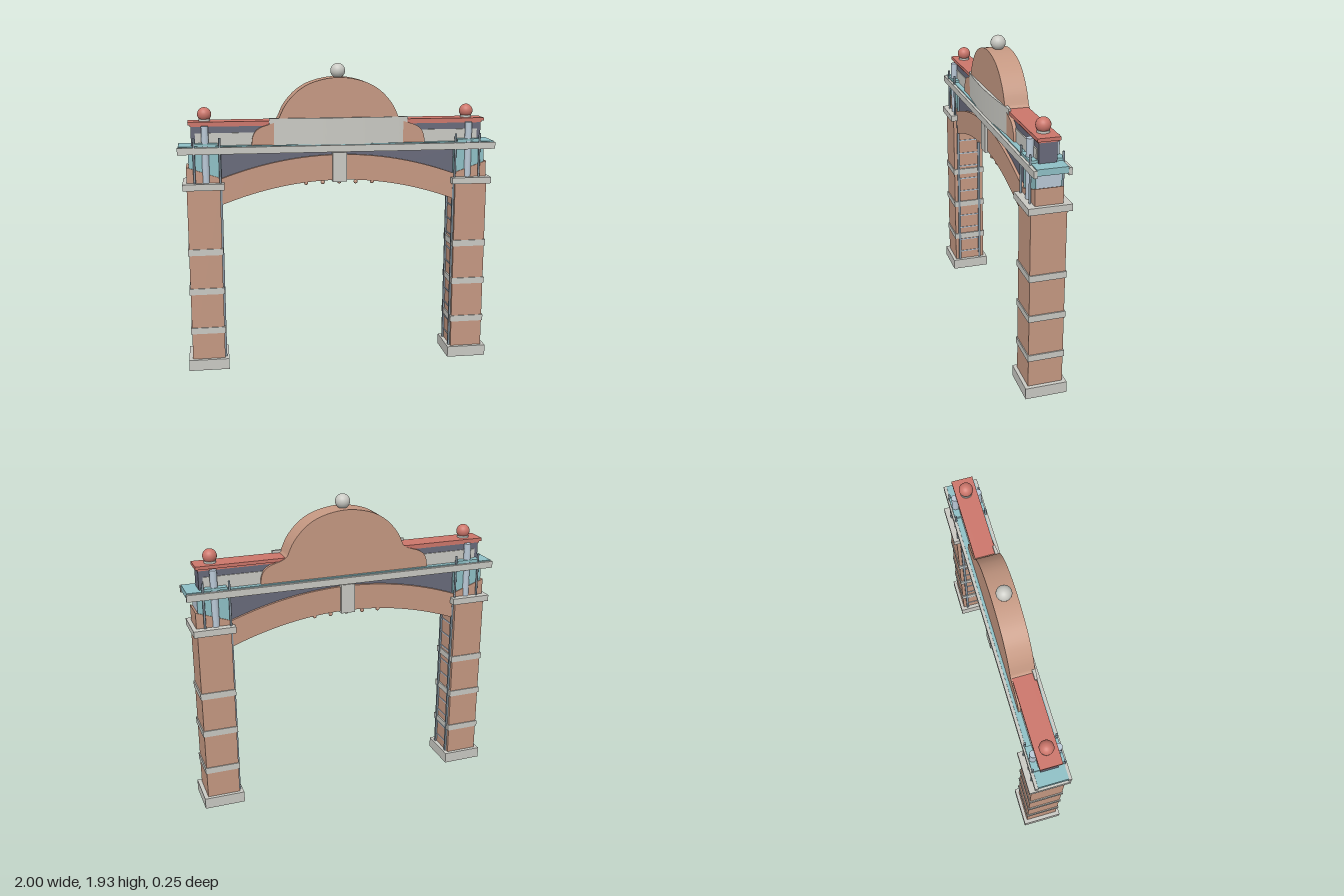
import * as THREE from 'three';
import { toCreasedNormals } from 'three/addons/utils/BufferGeometryUtils.js';

const mat = (name, color) => {
  const m = new THREE.MeshStandardMaterial({ color });
  m.name = name;
  return m;
};

export function createModel() {
  const brick = mat('brick', 0xc59882);
  const stone = mat('stone', 0xc9c9c3);
  const teal = mat('teal', 0x8fc0c6);
  const slate = mat('slate', 0x686a7a);
  const red = mat('red', 0xcc766b);
  const pale = mat('paleBlue', 0xb9c8d6);
  const steel = mat('steel', 0x8695a0);

  const model = new THREE.Group();
  model.name = 'archGate';

  const add = (parent, name, geometry, material, x = 0, y = 0, z = 0) => {
    const mesh = new THREE.Mesh(geometry, material);
    mesh.name = name;
    mesh.position.set(x, y, z);
    parent.add(mesh);
    return mesh;
  };
  // Box given by its limits on x and y and its limits on z
  const box = (parent, name, material, x0, x1, y0, y1, z0, z1) =>
    add(parent, name, new THREE.BoxGeometry(x1 - x0, y1 - y0, z1 - z0), material,
      (x0 + x1) / 2, (y0 + y1) / 2, (z0 + z1) / 2);
  const rod = (parent, name, material, r, x, y0, y1, z, sides = 12) =>
    add(parent, name, new THREE.CylinderGeometry(r, r, y1 - y0, sides), material, x, (y0 + y1) / 2, z);
  const ball = (parent, name, material, r, x, y, z = 0) =>
    add(parent, name, new THREE.SphereGeometry(r, 24, 16), material, x, y, z);
  // Upright plate centred on z = 0
  const plate = (name, shape, halfDepth, material) => {
    const g = new THREE.ExtrudeGeometry(shape, { depth: halfDepth * 2, bevelEnabled: false, curveSegments: 32 });
    g.translate(0, 0, -halfDepth);
    return add(model, name, toCreasedNormals(g, 0.5), material);
  };

  // Pillars with everything standing on them
  for (const s of [1, -1]) {
    const p = new THREE.Group();
    p.name = s > 0 ? 'leftPillar' : 'rightPillar';
    model.add(p);
    const sBox = (name, m, x0, x1, y0, y1, z0, z1) =>
      box(p, name, m, Math.min(s * x0, s * x1), Math.max(s * x0, s * x1), y0, y1, z0, z1);

    sBox('base', stone, 0.72, 0.975, 0, 0.07, -0.127, 0.127);
    sBox('shaft', brick, 0.745, 0.95, 0.07, 1.17, -0.105, 0.105);
    sBox('capital', stone, 0.72, 0.975, 1.17, 1.21, -0.127, 0.127);
    for (const y of [0.26, 0.52, 0.775]) sBox('band', stone, 0.737, 0.957, y - 0.02, y + 0.02, -0.111, 0.111);

    // Inner ladder: two rails and thin rungs
    for (const z of [-0.075, 0.075]) sBox('innerRail', steel, 0.733, 0.746, 0.07, 1.17, z - 0.008, z + 0.008);
    for (let i = 0; i < 11; i++) {
      const y = 0.13 + i * 0.098;
      sBox('rung', pale, 0.741, 0.746, y - 0.004, y + 0.004, -0.067, 0.067);
    }

    // Upper block with coloured faces
    sBox('upperBlock', pale, 0.735, 0.935, 1.21, 1.395, -0.07, 0.07);
    for (const z of [-1, 1]) {
      const a = z * 0.07, b = z * 0.076;
      sBox('upperPanel', teal, 0.735, 0.935, 1.21, 1.395, Math.min(a, b), Math.max(a, b));
      rod(p, 'column', pale, 0.022, s * 0.83, 1.21, 1.56, z * 0.073, 20);
      sBox('columnCollar', teal, 0.755, 0.905, 1.44, 1.455, Math.min(z * 0.05, z * 0.098), Math.max(z * 0.05, z * 0.098));
      for (const x of [0.743, 0.9]) rod(p, 'thinPost', steel, 0.007, s * x, 1.21, 1.49, z * 0.094, 8);
    }

    // Ball on the parapet
    rod(p, 'finialSeat', stone, 0.036, s * 0.83, 1.58, 1.598, 0, 24);
    ball(p, 'finialBall', red, 0.043, s * 0.83, 1.626);
  }

  // Brick arch with raised shoulders
  const arch = new THREE.Shape();
  arch.moveTo(-0.95, 1.2);
  arch.lineTo(-0.735, 1.2);
  arch.lineTo(-0.735, 1.07);
  arch.quadraticCurveTo(0, 1.35, 0.735, 1.07);
  arch.lineTo(0.735, 1.2);
  arch.lineTo(0.95, 1.2);
  arch.lineTo(0.95, 1.31);
  arch.lineTo(0.735, 1.235);
  arch.quadraticCurveTo(0, 1.505, -0.735, 1.235);
  arch.lineTo(-0.95, 1.31);
  plate('arch', arch, 0.082, brick);

  // Dark wall between arch and beam
  const spandrel = new THREE.Shape();
  spandrel.moveTo(-0.74, 1.22);
  spandrel.quadraticCurveTo(0, 1.49, 0.74, 1.22);
  spandrel.lineTo(0.74, 1.4);
  spandrel.lineTo(-0.74, 1.4);
  plate('spandrel', spandrel, 0.065, slate);

  // Keystones and hanging bulbs on both faces
  for (const z of [-1, 1]) {
    box(model, 'keystone', stone, -0.045, 0.045, 1.2, 1.385, z * 0.075 - 0.025, z * 0.075 + 0.025);
    for (let i = -2; i <= 2; i++) ball(model, 'bulb', brick, 0.013, i * 0.105, 1.197 - Math.abs(i) * 0.002, z * 0.07);
  }

  // Beam: teal deck between stone rails
  box(model, 'deck', teal, -0.995, 0.995, 1.4, 1.438, -0.09, 0.09);
  for (const z of [-1, 1]) box(model, 'beamRail', stone, -1, 1, 1.39, 1.432, z * 0.098 - 0.01, z * 0.098 + 0.01);

  // Parapet
  box(model, 'parapet', slate, -0.915, 0.915, 1.438, 1.558, -0.052, 0.052);
  box(model, 'parapetPanel', stone, -0.89, 0.89, 1.438, 1.515, -0.058, 0.058);
  box(model, 'parapetCapLower', red, -0.92, 0.92, 1.555, 1.567, -0.058, 0.058);
  box(model, 'parapetCap', red, -0.932, 0.932, 1.565, 1.585, -0.066, 0.066);

  // Bell-shaped gable, one half mirrored
  const half = [[0.375, 1.6], [0.345, 1.665], [0.305, 1.72], [0.25, 1.772], [0.18, 1.812], [0.09, 1.838]];
  const gable = new THREE.Shape();
  gable.moveTo(-0.545, 1.436);
  gable.lineTo(0.545, 1.436);
  gable.bezierCurveTo(0.545, 1.53, 0.5, 1.545, 0.44, 1.563);
  gable.quadraticCurveTo(0.39, 1.575, 0.375, 1.6);
  gable.splineThru([...half.slice(1), [0, 1.847], ...half.slice().reverse().map(([x, y]) => [-x, y])]
    .map(([x, y]) => new THREE.Vector2(x, y)));
  gable.quadraticCurveTo(-0.39, 1.575, -0.44, 1.563);
  gable.bezierCurveTo(-0.5, 1.545, -0.545, 1.53, -0.545, 1.436);
  plate('gable', gable, 0.073, brick);
  ball(model, 'topBall', stone, 0.046, 0, 1.885);

  // Bowed blank panel on the front of the gable
  const bow = new THREE.Shape();
  bow.moveTo(-0.435, -0.055);
  bow.lineTo(-0.435, -0.07);
  bow.quadraticCurveTo(0, -0.118, 0.435, -0.07);
  bow.lineTo(0.435, -0.055);
  const bowGeometry = new THREE.ExtrudeGeometry(bow, { depth: 0.165, bevelEnabled: false, curveSegments: 24 });
  bowGeometry.rotateX(-Math.PI / 2);
  add(model, 'frontPanel', toCreasedNormals(bowGeometry, 0.5), stone, 0, 1.436, 0);

  return model;
}
